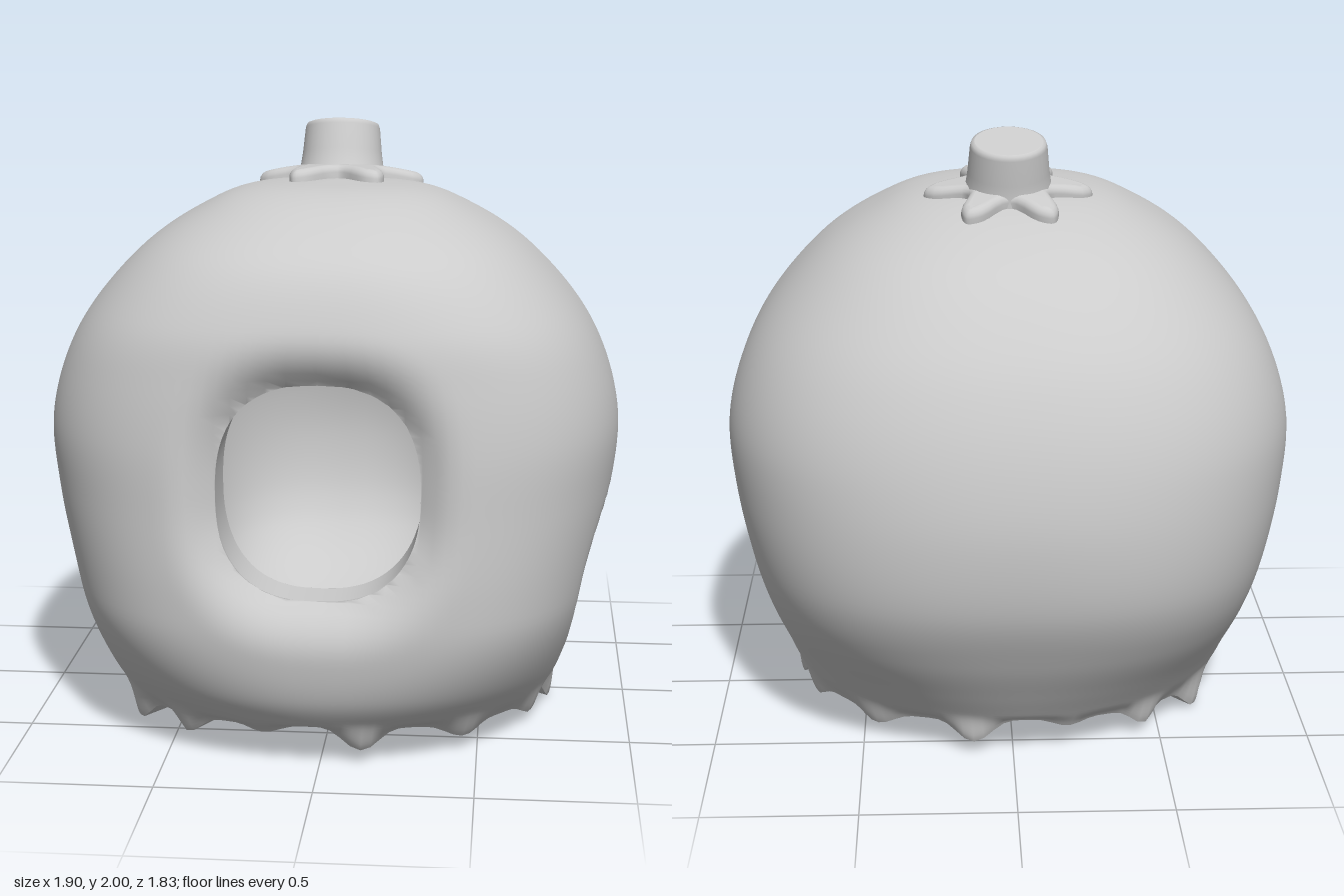
import * as THREE from 'three';
import { mergeVertices } from 'three/addons/utils/BufferGeometryUtils.js';

const TAU = Math.PI * 2, COLS = 140, ROWS = 84;
const { lerp, smoothstep } = THREE.MathUtils;
const material = new THREE.MeshStandardMaterial({ color: 0xcccccc, side: THREE.DoubleSide });

// Body sections from crown to rim: y, half width, back z, front z
const TABLE = [
  [1.81, 0, 0.14, 0.14], [1.79, 0.28, -0.12, 0.38], [1.72, 0.455, -0.35, 0.585], [1.6, 0.635, -0.56, 0.765],
  [1.42, 0.8, -0.73, 0.86], [1.24, 0.9, -0.83, 0.89], [1.04, 0.95, -0.89, 0.91], [0.83, 0.935, -0.91, 0.92],
  [0.6, 0.89, -0.88, 0.93], [0.4, 0.84, -0.79, 0.92], [0.25, 0.795, -0.7, 0.885], [0.15, 0.76, -0.635, 0.82],
  [0.075, 0.71, -0.59, 0.75],
];
const LAST = TABLE.length - 1, RIM = 0.075;
const spline = new THREE.CubicInterpolant(TABLE.map((_, i) => i), TABLE.flat(), 4, new Float32Array(4));
const sectionAt = (t) => {
  const [y, w, back, front] = spline.evaluate(t);
  return { y, w: Math.max(w, 0), c: (back + front) / 2, h: (front - back) / 2 };
};
const sections = Array.from({ length: 601 }, (_, i) => sectionAt((i / 600) * LAST));

// Squareness of a section: round at the rim, squarest at the front in mid height
const squareness = (y, front) =>
  lerp(2, front ? lerp(2.8, 2.4, smoothstep(y, 1.25, 1.78)) : lerp(2.5, 2.3, smoothstep(y, 0.5, 1)), smoothstep(y, RIM, 0.5));

// The inner wall is a smaller copy, thick at the sides and thin at the front
const BASE = 0.09, RISE = 0.87, INNER_X = 0.59;
const innerY = (y) => BASE + (y - RIM) * RISE;
const innerZ = (y) => lerp(0.64, 0.75, smoothstep(y, RIM, 0.5));

// Section at a height, for the outer or the inner wall
function sectionAtY(height, inner) {
  const y = inner ? (height - BASE) / RISE + RIM : height;
  const k = Math.max(1, sections.findIndex((s) => s.y <= y));
  const a = sections[k - 1], b = sections[k], f = (a.y - y) / (a.y - b.y);
  const mix = (key) => lerp(a[key], b[key], f);
  return { y, w: mix('w') * (inner ? INNER_X : 1), c: mix('c'), h: mix('h') * (inner ? innerZ(y) : 1) };
}

// Openings: normalised radius is 1 on the edge
const FACE = { u: 0, y: 0.91, ru: 0.32, ry: 0.34, n: 2.5, end: 1.55, depth: 0.09 };
const ARM = { u: 0.175, y: 0.55, ru: 0.23, ry: 0.21, n: 2, end: 1.45, depth: 0.03 };
const radius = (o, u, y) =>
  (Math.abs((u - o.u) / o.ru) ** o.n + Math.abs((y - o.y) / o.ry) ** o.n) ** (1 / o.n);
const dish = (o, u, y) => {
  const r = Math.max(1, radius(o, u, y));
  return r < o.end ? o.depth * ((o.end - r) / (o.end - 1)) ** 2.4 : 0;
};
const outside = (p) => Math.min(radius(ARM, p.z, p.y), p.z > 0 ? radius(FACE, p.x, p.y) : 9) - 1;

const power = (v, n) => Math.sign(v) * Math.abs(v) ** (2 / n);

function outerPoint(t, a) {
  const s = sectionAt(t), n = squareness(s.y, Math.sin(a) > 0);
  const p = new THREE.Vector3(s.w * power(Math.cos(a), n), s.y, s.c + s.h * power(Math.sin(a), n));
  if (p.z > 0) p.z -= dish(FACE, p.x, p.y);
  if (Math.abs(p.x) > 0.4) p.x -= Math.sign(p.x) * dish(ARM, p.z, p.y);
  // Small uneven drips along the lower rim, which arches up at front and back
  const k = smoothstep(t, LAST - 1.1, LAST);
  const bump = (0.5 + 0.5 * Math.cos(14 * a + 0.8 * Math.sin(3 * a))) ** 2;
  const drip = k * bump * (0.65 + 0.35 * Math.cos(5 * a));
  p.y += k * 0.045 * Math.sin(a) ** 4 - 0.073 * drip;
  p.x += 0.025 * drip * Math.cos(a);
  p.z += 0.025 * drip * Math.sin(a);
  return p;
}

function innerPoint(t, a) {
  const s = sectionAt(t), n = squareness(s.y, Math.sin(a) > 0);
  const x = INNER_X * s.w * power(Math.cos(a), n), z = s.c + innerZ(s.y) * s.h * power(Math.sin(a), n);
  return new THREE.Vector3(x, innerY(s.y), z);
}

// Cuts a triangle along the edges of the openings
function clip(tri, out) {
  const poly = [];
  tri.forEach((p, i) => {
    const q = tri[(i + 1) % 3], inP = outside(p) >= 0, inQ = outside(q) >= 0;
    if (inP) poly.push(p);
    if (inP !== inQ) {
      const keep = (inP ? p : q).clone(), drop = (inP ? q : p).clone();
      for (let k = 0; k < 14; k++) {
        const mid = keep.clone().lerp(drop, 0.5);
        (outside(mid) >= 0 ? keep : drop).copy(mid);
      }
      poly.push(keep);
    }
  });
  for (let i = 1; i + 1 < poly.length; i++) out.push(poly[0], poly[i], poly[i + 1]);
}

// Skin over a grid of points, closed around
function skin(name, rows, cols, point, { flip = false, cut = false } = {}) {
  const grid = [], out = [];
  for (let i = 0; i <= rows; i++) {
    grid.push(Array.from({ length: cols }, (_, j) => point(i / rows, (j / cols) * TAU)));
  }
  for (let i = 0; i < rows; i++) {
    for (let j = 0; j < cols; j++) {
      const n = (j + 1) % cols;
      const A = grid[i][j], B = grid[i + 1][j], C = grid[i][n], D = grid[i + 1][n];
      for (const tri of [[A, C, B], [C, D, B]]) {
        if (flip) tri.reverse();
        if (cut) clip(tri, out);
        else out.push(...tri);
      }
    }
  }
  const geometry = mergeVertices(new THREE.BufferGeometry().setFromPoints(out), 1e-5);
  geometry.computeVertexNormals();
  const mesh = new THREE.Mesh(geometry, material);
  mesh.name = name;
  return mesh;
}

// Wall of an opening, from the outer skin to the inner one
function tunnel(name, o, place) {
  return skin(name, 4, 72, (v, a) => {
    const u = o.u + o.ru * power(Math.cos(a), o.n), y = o.y + o.ry * power(Math.sin(a), o.n);
    return place(u, y, v);
  });
}
const bulge = (x, n) => Math.max(0, 1 - Math.abs(x) ** n) ** (1 / n);
const frontZ = (s, x) => s.c + s.h * bulge(x / s.w, squareness(s.y, true));
const sideX = (s, z) => s.w * bulge((z - s.c) / s.h, squareness(s.y, z > s.c));
const faceWall = (x, y, v) => {
  const z0 = frontZ(sectionAtY(y, false), x) - dish(FACE, x, y), z1 = frontZ(sectionAtY(y, true), x);
  return new THREE.Vector3(x, y, lerp(z0, z1, v));
};
const armWall = (side) => (z, y, v) => {
  const x0 = sideX(sectionAtY(y, false), z) - dish(ARM, z, y), x1 = sideX(sectionAtY(y, true), z);
  return new THREE.Vector3(side * lerp(x0, x1, v), y, z);
};

// Six-leaved star under the stem
function makeCalyx() {
  const points = [];
  for (let k = 0; k < 6; k++) {
    for (const [da, r] of [[-0.16, 0.25], [0, 0.28], [0.16, 0.25], [Math.PI / 6, 0.155]]) {
      const a = (k * Math.PI) / 3 + da;
      points.push(new THREE.Vector3(r * Math.cos(a), r * Math.sin(a), 0));
    }
  }
  const outline = new THREE.CatmullRomCurve3(points, true).getPoints(96).slice(0, -1);
  const shape = new THREE.Shape(outline.map((p) => new THREE.Vector2(p.x, p.y)));
  let geometry = new THREE.ExtrudeGeometry(shape, {
    depth: 0.03, bevelEnabled: true, bevelSize: 0.025, bevelOffset: -0.025, bevelThickness: 0.025, bevelSegments: 4,
  });
  geometry.rotateX(-Math.PI / 2);
  const pos = geometry.attributes.position;
  for (let i = 0; i < pos.count; i++) {
    pos.setY(i, pos.getY(i) - 0.45 * (pos.getX(i) ** 2 + pos.getZ(i) ** 2));
  }
  geometry.deleteAttribute('normal');
  geometry.deleteAttribute('uv');
  geometry = mergeVertices(geometry, 1e-4);
  geometry.computeVertexNormals();
  const mesh = new THREE.Mesh(geometry, material);
  mesh.name = 'calyx';
  mesh.position.set(0, 1.788, -0.06);
  mesh.rotation.x = -0.13;
  return mesh;
}

function makeStem() {
  const profile = [[0.155, 0], [0.142, 0.04], [0.135, 0.09], [0.127, 0.175], [0.122, 0.189], [0.112, 0.193], [0.112, 0.193], [0, 0.193]];
  const stem = new THREE.Mesh(new THREE.LatheGeometry(profile.map(([x, y]) => new THREE.Vector2(x, y)), 32), material);
  stem.name = 'stem';
  stem.position.set(0, 1.785, -0.07);
  stem.rotation.x = -0.25;
  return stem;
}

export function createModel() {
  const model = new THREE.Group();
  model.name = 'hollowFruitShell';
  model.add(
    skin('outerShell', ROWS, COLS, (v, a) => outerPoint(v * LAST, a), { cut: true }),
    skin('innerShell', ROWS, COLS, (v, a) => innerPoint(v * LAST, a), { cut: true, flip: true }),
    skin('bottomRim', 3, COLS, (v, a) => outerPoint(LAST, a).lerp(innerPoint(LAST, a), v)),
    tunnel('faceOpening', FACE, faceWall),
    tunnel('leftArmOpening', ARM, armWall(1)),
    tunnel('rightArmOpening', ARM, armWall(-1)),
    makeCalyx(),
    makeStem(),
  );
  return model;
}
